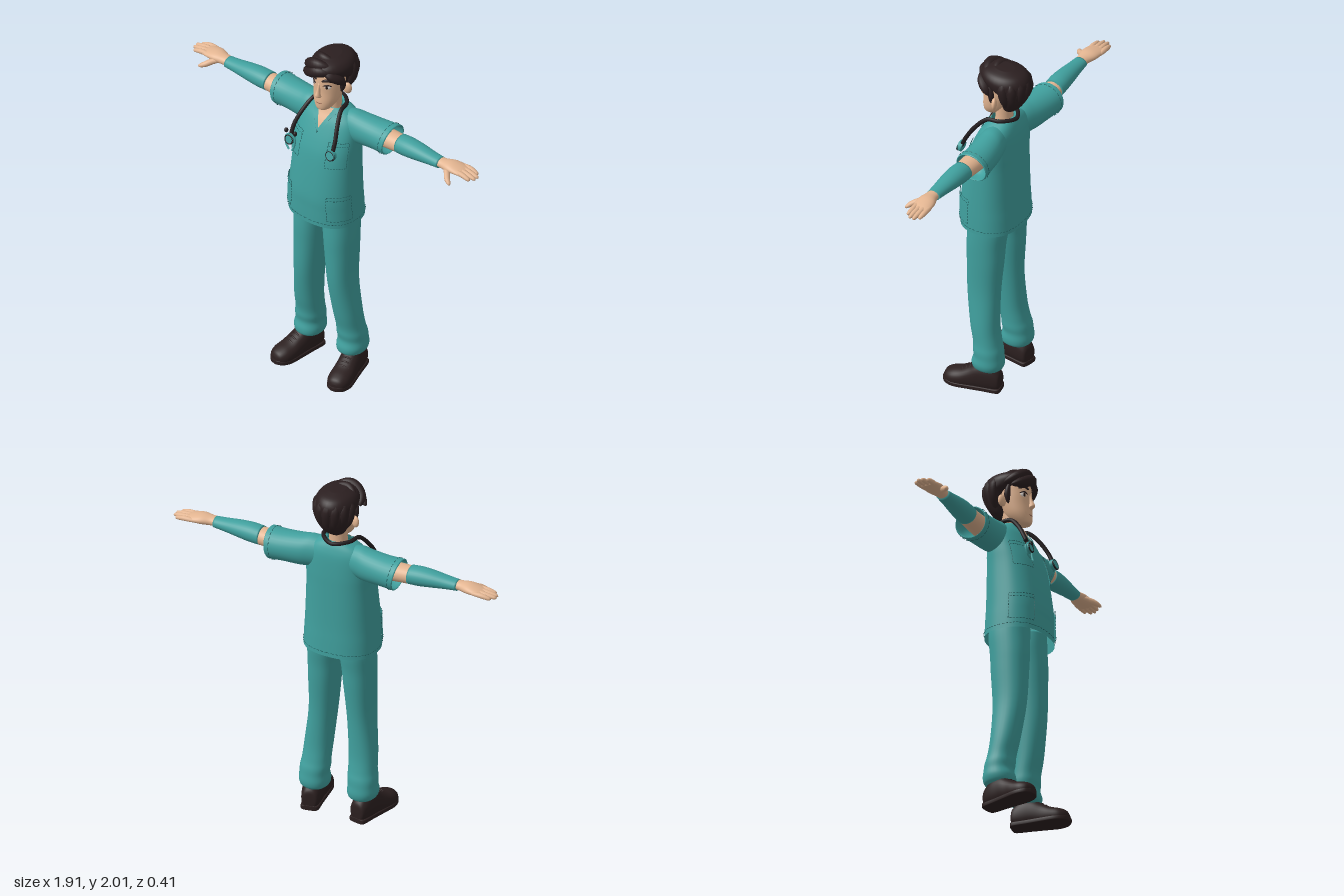
import * as THREE from 'three';
import { mergeGeometries, mergeVertices } from 'three/addons/utils/BufferGeometryUtils.js';

const V = (x, y, z) => new THREE.Vector3(x, y, z);
const material = (name, color, side = THREE.FrontSide) => {
  const m = new THREE.MeshStandardMaterial({ color, side });
  m.name = name;
  return m;
};
const pw = (v, n) => Math.sign(v) * Math.pow(Math.abs(v), 2 / n);

// Smoothly subdivide cross-section rows [t, centreA, centreB, radiusA, radiusB]
function smooth(rows, k = 5) {
  const cr = (a, b, c, d, t) => 0.5 * (2 * b + (c - a) * t + (2 * a - 5 * b + 4 * c - d) * t * t + (3 * b - a - 3 * c + d) * t * t * t);
  const out = [], last = rows.length - 1;
  for (let i = 0; i < last; i++)
    for (let s = 0; s < k; s++)
      out.push(rows[i].map((v, j) => cr(rows[Math.max(0, i - 1)][j], v, rows[i + 1][j], rows[Math.min(last, i + 2)][j], s / k)));
  out.push(rows[last]);
  return out;
}

// Skin a stack of superellipse sections along an axis
function loft(axis, rows, { n = 2, seg = 32, caps = true } = {}) {
  const rings = smooth(rows), pos = [], idx = [];
  const put = (t, a, b) => pos.push(...(axis === 'y' ? [a, t, b] : axis === 'x' ? [t, a, b] : [a, b, t]));
  const flip = (axis === 'y') !== (rows[rows.length - 1][0] < rows[0][0]);
  const tri = (a, b, c) => idx.push(...(flip ? [a, c, b] : [a, b, c]));
  for (const [t, ca, cb, ra, rb] of rings)
    for (let j = 0; j < seg; j++) {
      const q = (j / seg) * Math.PI * 2;
      put(t, ca + ra * pw(Math.cos(q), n), cb + rb * pw(Math.sin(q), n));
    }
  for (let i = 0; i < rings.length - 1; i++)
    for (let j = 0; j < seg; j++) {
      const a = i * seg + j, b = i * seg + (j + 1) % seg;
      tri(a, b, b + seg);
      tri(a, b + seg, a + seg);
    }
  if (caps) {
    const m = rings.length - 1, c0 = rings.length * seg;
    put(...rings[0].slice(0, 3));
    put(...rings[m].slice(0, 3));
    for (let j = 0; j < seg; j++) {
      tri(c0, (j + 1) % seg, j);
      tri(c0 + 1, m * seg + j, m * seg + (j + 1) % seg);
    }
  }
  const g = new THREE.BufferGeometry();
  g.setAttribute('position', new THREE.Float32BufferAttribute(pos, 3));
  g.setIndex(idx);
  g.computeVertexNormals();
  return g;
}

// Tube that narrows to both ends; used for locks, fingers and brows
function taper(points, r, power = 0.6) {
  const curve = new THREE.CatmullRomCurve3(points.map(p => V(...p)));
  let g = new THREE.TubeGeometry(curve, 20, 1, 10);
  const p = g.attributes.position, uv = g.attributes.uv, v = V();
  for (let i = 0; i < p.count; i++) {
    const c = curve.getPointAt(uv.getX(i));
    v.fromBufferAttribute(p, i).sub(c).multiplyScalar(r * Math.pow(Math.max(0, Math.sin(Math.PI * uv.getX(i))), power)).add(c);
    p.setXYZ(i, v.x, v.y, v.z);
  }
  g.deleteAttribute('uv');
  g.deleteAttribute('normal');
  g = mergeVertices(g, 1e-5);
  g.computeVertexNormals();
  return g;
}
const tube = (points, r, seg = 60) => new THREE.TubeGeometry(new THREE.CatmullRomCurve3(points.map(p => V(...p))), seg, r, 8);
const ball = (x, y, z, a, b, c, ry = 0) => new THREE.SphereGeometry(1, 24, 16).scale(a, b, c).rotateY(ry).translate(x, y, z);
const dashes = pts => mergeGeometries(pts.slice(1).map((p, i) => [pts[i], p]).filter((_, i) => i % 3 < 2)
  .map(([a, b]) => new THREE.TubeGeometry(new THREE.LineCurve3(a, b), 1, 0.0018, 4)));

// Torso sections and a lookup of points on its surface
const TORSO = [
  [1.01, 0, 0.002, 0.208, 0.166], [1.1, 0, 0.004, 0.205, 0.164], [1.2, 0, 0.005, 0.2, 0.16], [1.4, 0, -0.008, 0.19, 0.143],
  [1.5, 0, -0.022, 0.188, 0.127], [1.6, 0, -0.042, 0.18, 0.1], [1.65, 0, -0.052, 0.145, 0.077], [1.685, 0, -0.052, 0.08, 0.06]];
const FINE = smooth(TORSO), TN = 2.4;
function section(y) {
  let i = 0;
  while (i < FINE.length - 2 && FINE[i + 1][0] < y) i++;
  const t = (y - FINE[i][0]) / (FINE[i + 1][0] - FINE[i][0]);
  return FINE[i].map((v, j) => v + (FINE[i + 1][j] - v) * t);
}
function onTorso(q, y, off = 0.003) {
  const [, , cz, rx, rz] = section(y);
  return V((rx + off) * pw(Math.cos(q), TN), y, cz + (rz + off) * pw(Math.sin(q), TN));
}
const angleAt = (x, y) => Math.acos(Math.sign(x) * Math.pow(Math.min(1, Math.abs(x) / section(y)[3]), TN / 2));
const onFront = (x, y, off) => onTorso(angleAt(x, y), y, off);
const run = (n, f) => Array.from({ length: n + 1 }, (_, i) => f(i / n));
const mix = THREE.MathUtils.lerp;
function patch(f, nu = 12, nv = 10) {
  const g = new THREE.PlaneGeometry(1, 1, nu, nv), p = g.attributes.position;
  for (let i = 0; i < p.count; i++) {
    const v = f(p.getX(i) + 0.5, p.getY(i) + 0.5);
    p.setXYZ(i, v.x, v.y, v.z);
  }
  g.computeVertexNormals();
  return g;
}

export function createModel() {
  const model = new THREE.Group();
  const scrubs = material('teal scrubs', 0x40a09e, THREE.DoubleSide), stitch = material('dark stitching', 0x1f5c5c);
  const skin = material('skin', 0xe3b591, THREE.DoubleSide), hair = material('dark brown hair', 0x2b1f20);
  const shoe = material('shoe leather', 0x2c2020), rubber = material('black rubber', 0x211b1d);
  const white = material('eye white', 0xeee6e0), iris = material('dark iris', 0x2a1a16), lip = material('lip line', 0x9a6650);

  const add = (name, geo, mat) => {
    const m = new THREE.Mesh(geo, mat);
    m.name = name;
    model.add(m);
  };
  const both = (name, geo, mat) => {
    const g = geo.index ? geo.clone() : mergeVertices(geo);
    g.scale(-1, 1, 1);
    const ix = g.index;
    for (let i = 0; i < ix.count; i += 3) {
      const t = ix.getX(i);
      ix.setX(i, ix.getX(i + 1));
      ix.setX(i + 1, t);
    }
    add(name + 'Left', geo, mat);
    add(name + 'Right', g, mat);
  };

  // Tunic
  add('tunic', loft('y', TORSO, { n: TN, seg: 64, caps: false }), scrubs);
  add('tunicHemStitch', dashes(run(180, t => onTorso(t * Math.PI * 2, 1.035))), stitch);
  const SLEEVE = [[0.06, 1.585, -0.055, 0.08, 0.065], [0.14, 1.582, -0.062, 0.092, 0.077], [0.2, 1.578, -0.07, 0.09, 0.083], [0.3, 1.578, -0.08, 0.085, 0.088], [0.385, 1.578, -0.084, 0.088, 0.094]];
  const slant = g => {
    const p = g.attributes.position;
    for (let i = 0; i < p.count; i++) p.setX(i, p.getX(i) + Math.max(0, p.getX(i) - 0.2) * (p.getY(i) - 1.65) * 0.7);
    g.computeVertexNormals();
    return g;
  };
  both('sleeve', slant(loft('x', SLEEVE, { caps: false })), scrubs);
  both('sleeveLining', slant(loft('x', [[0.385, 1.578, -0.084, 0.088, 0.094], [0.386, 1.578, -0.084, 0.081, 0.087], [0.33, 1.58, -0.08, 0.074, 0.078], [0.28, 1.585, -0.075, 0.04, 0.04]], { caps: false })), scrubs);
  both('sleeveStitch', slant(dashes(run(60, t => V(0.36, 1.578 + 0.09 * Math.cos(t * 6.283), -0.083 + 0.0955 * Math.sin(t * 6.283))))), stitch);

  // Neckline
  add('chestSkin', patch((u, v) => onFront((u - 0.5) * 0.1 * v, mix(1.575, 1.683, v), 0.003)), skin);
  both('collarBand', patch((u, v) => onFront(mix(0.052, 0, v) + u * 0.016, mix(1.682, 1.572, v) - u * 0.018, 0.008), 3, 12), scrubs);
  both('collarStitch', tube(run(8, t => onFront(mix(0.068, 0, t), mix(1.664, 1.552, t), 0.006).toArray()), 0.0018, 16), stitch);
  add('backCollar', tube(run(12, t => { const q = Math.PI * (1 + t); return [0.068 * Math.cos(q), 1.682, -0.05 + 0.058 * Math.sin(q)]; }), 0.011, 30), scrubs);

  // Pockets
  for (const [name, q0, q1, y0, y1] of [['chestPocket', 1.18, 0.42, 1.385, 1.53], ['hipPocket', 1.05, 0.2, 1.06, 1.21]]) {
    both(name, patch((u, v) => onTorso(mix(q0, q1, u), mix(y0, y1, v), 0.006)), scrubs);
    const edge = (a, b, c, d) => run(24, t => onTorso(mix(a, b, t), mix(c, d, t), 0.007));
    both(name + 'Stitch', mergeGeometries([edge(q0, q0, y1, y0), edge(q0, q1, y0, y0), edge(q1, q1, y0, y1), edge(q0, q1, y1, y1), edge(q0, q1, y1 - 0.02, y1 - 0.02)].map(dashes)), stitch);
  }

  // Trousers
  both('trouserLeg', loft('y', [
    [1.08, 0.093, -0.005, 0.09, 0.11], [1.0, 0.094, -0.007, 0.094, 0.112], [0.9, 0.1, 0, 0.089, 0.108], [0.8, 0.104, 0.002, 0.084, 0.104],
    [0.6, 0.113, 0.005, 0.074, 0.093], [0.4, 0.13, -0.012, 0.076, 0.079], [0.3, 0.136, -0.03, 0.077, 0.075], [0.25, 0.14, -0.038, 0.081, 0.08],
    [0.21, 0.143, -0.043, 0.079, 0.08], [0.17, 0.143, -0.04, 0.083, 0.088], [0.14, 0.141, -0.038, 0.077, 0.084], [0.125, 0.14, -0.038, 0.062, 0.068]], { n: 2.2 }), scrubs);

  // Shoes, turned outwards
  const turn = g => g.rotateY(0.2).translate(0.163, 0, 0);
  const upper = loft('z', [
    [-0.12, 0, 0.055, 0.02, 0.025], [-0.112, 0, 0.062, 0.044, 0.056], [-0.06, 0, 0.075, 0.055, 0.085], [0, 0, 0.073, 0.058, 0.085],
    [0.05, 0, 0.055, 0.06, 0.073], [0.1, 0, 0.042, 0.064, 0.058], [0.15, 0, 0.035, 0.062, 0.05], [0.185, 0, 0.032, 0.044, 0.036], [0.198, 0, 0.03, 0.018, 0.015]], { n: 2.2 });
  const up = upper.attributes.position;
  for (let i = 0; i < up.count; i++) up.setY(i, Math.max(0.012, up.getY(i)));
  upper.computeVertexNormals();
  both('shoeUpper', turn(upper), shoe);
  both('shoeSole', turn(loft('z', [
    [-0.123, 0, 0.014, 0.028, 0.013], [-0.11, 0, 0.014, 0.049, 0.014], [-0.03, 0, 0.014, 0.055, 0.014], [0.05, 0, 0.014, 0.062, 0.014],
    [0.13, 0, 0.014, 0.067, 0.014], [0.18, 0, 0.016, 0.05, 0.014], [0.203, 0, 0.018, 0.02, 0.012]], { n: 6 })), shoe);
  both('shoeLaces', turn(mergeGeometries([0, 1, 2, 3].map(i => tube([[-0.03, 0.132 - i * 0.013, 0.025 + i * 0.022], [0, 0.144 - i * 0.014, 0.027 + i * 0.022], [0.03, 0.132 - i * 0.013, 0.025 + i * 0.022]], 0.005, 8)))), shoe);

  // Arms and hands
  both('upperArm', loft('x', [[0.27, 1.585, -0.075, 0.055, 0.06], [0.38, 1.588, -0.073, 0.05, 0.058], [0.46, 1.59, -0.072, 0.047, 0.054]]), skin);
  both('underSleeve', loft('x', [[0.44, 1.592, -0.072, 0.051, 0.057], [0.5, 1.595, -0.07, 0.052, 0.058], [0.57, 1.597, -0.068, 0.046, 0.053], [0.65, 1.597, -0.066, 0.036, 0.044], [0.72, 1.597, -0.065, 0.029, 0.038]]), scrubs);
  both('palm', loft('x', [[0.7, 1.6, -0.065, 0.025, 0.033], [0.74, 1.601, -0.066, 0.026, 0.036], [0.79, 1.604, -0.071, 0.027, 0.05], [0.84, 1.602, -0.075, 0.02, 0.051], [0.88, 1.598, -0.077, 0.012, 0.045]]), skin);
  [[-0.115, 0.935], [-0.091, 0.957], [-0.067, 0.955], [-0.043, 0.935]].forEach(([z, x], i) =>
    both('finger' + (i + 1), taper([[0.81, 1.602, z], [0.88, 1.601, z], [x, 1.59, z + 0.004]], 0.0145, 0.3), skin));
  both('thumb', taper([[0.75, 1.598, -0.055], [0.79, 1.59, -0.025], [0.82, 1.575, 0.008], [0.852, 1.56, 0.028]], 0.0165, 0.4), skin);

  // Head
  add('neck', loft('y', [[1.6, 0, -0.05, 0.06, 0.052], [1.68, 0, -0.048, 0.05, 0.047], [1.78, 0, -0.05, 0.052, 0.05]]), skin);
  add('head', loft('y', [
    [1.686, 0, 0.035, 0.02, 0.02], [1.697, 0, 0.025, 0.042, 0.045], [1.74, 0, 0.002, 0.067, 0.071], [1.8, 0, -0.016, 0.079, 0.084],
    [1.86, 0, -0.03, 0.084, 0.098], [1.92, 0, -0.04, 0.082, 0.1], [1.965, 0, -0.045, 0.05, 0.07]]), skin);
  add('nose', loft('y', [[1.77, 0, 0.064, 0.01, 0.008], [1.782, 0, 0.073, 0.017, 0.016], [1.793, 0, 0.077, 0.014, 0.018], [1.82, 0, 0.069, 0.009, 0.014], [1.86, 0, 0.062, 0.007, 0.008]]), skin);
  both('ear', ball(0.1, 1.812, -0.048, 0.025, 0.034, 0.015, 0.4), skin);
  both('eye', ball(0.043, 1.845, 0.05, 0.019, 0.014, 0.006, 0.55), white);
  both('iris', ball(0.041, 1.845, 0.0535, 0.0095, 0.012, 0.005, 0.5), iris);
  both('upperLid', taper([[0.02, 1.849, 0.064], [0.042, 1.861, 0.057], [0.065, 1.852, 0.037]], 0.004), hair);
  both('eyebrow', taper([[0.016, 1.88, 0.068], [0.042, 1.891, 0.057], [0.07, 1.879, 0.031]], 0.0075, 0.4), hair);
  add('mouth', taper([[-0.026, 1.739, 0.066], [0, 1.736, 0.073], [0.026, 1.739, 0.066]], 0.0028), lip);

  // Hair
  add('hairCap', loft('y', [
    [1.735, 0, -0.088, 0.03, 0.022], [1.765, 0, -0.1, 0.065, 0.045], [1.82, 0, -0.115, 0.09, 0.065], [1.87, 0, -0.11, 0.104, 0.085],
    [1.905, 0, -0.075, 0.113, 0.125], [1.945, 0, -0.056, 0.113, 0.14], [1.978, 0, -0.052, 0.088, 0.115], [1.996, 0, -0.05, 0.04, 0.055]]), hair);
  const locks = [
    [[[0.08, 1.94, 0.03], [0, 1.94, 0.072], [-0.075, 1.905, 0.06], [-0.13, 1.878, 0.02]], 0.032],
    [[[0.06, 1.965, 0.03], [-0.02, 1.968, 0.055], [-0.09, 1.935, 0.03], [-0.12, 1.9, -0.03]], 0.034],
    [[[0.02, 1.945, 0.06], [0.065, 1.925, 0.05], [0.1, 1.885, 0.005], [0.098, 1.85, -0.02]], 0.027],
    [[[0.05, 1.975, -0.01], [-0.03, 1.982, 0.0], [-0.1, 1.955, -0.04]], 0.025]];
  for (let i = 0; i < 7; i++) {
    const a = (i - 3) * 0.42, s = Math.sin(a), c = Math.cos(a);
    locks.push([[[0.05 * s, 1.965, -0.09], [0.098 * s, 1.93, -0.06 - 0.115 * c], [0.09 * s, 1.86, -0.075 - 0.095 * c], [0.05 * s, 1.765, -0.09 - 0.035 * c]], 0.03]);
  }
  locks.forEach(([p, r], i) => add('hairLock' + (i + 1), taper(p, r), hair));
  both('sideburn', taper([[0.09, 1.91, -0.01], [0.09, 1.85, -0.022], [0.083, 1.795, -0.02]], 0.017), hair);

  // Stethoscope
  const drop = [[0.14, 1.5, 0.13], [0.137, 1.56, 0.103], [0.118, 1.63, 0.06], [0.095, 1.688, 0], [0.078, 1.692, -0.07]];
  add('stethoscopeTube', tube([...drop, [0, 1.688, -0.125], ...drop.map(([x, y, z]) => [-x, y, z]).reverse()], 0.0115, 100), rubber);
  const disc = (x, y, z, r, h) => new THREE.CylinderGeometry(r, r, h, 28).rotateX(Math.PI / 2 - 0.2).translate(x, y, z);
  const ring = (x, y, z, r, t) => new THREE.TorusGeometry(r, t, 10, 28).rotateX(-0.2).translate(x, y, z);
  add('chestPiece', disc(0.135, 1.49, 0.136, 0.03, 0.024), scrubs);
  add('chestPieceRim', ring(0.135, 1.49, 0.144, 0.026, 0.005), rubber);
  add('tubeJoint', disc(-0.14, 1.475, 0.138, 0.029, 0.024), scrubs);
  add('tubeJointRim', ring(-0.14, 1.475, 0.148, 0.025, 0.004), rubber);
  add('earTubes', mergeGeometries([-1, 1].map(s => tube([[-0.14, 1.51, 0.135], [-0.14 + s * 0.03, 1.48, 0.135], [-0.138 + s * 0.026, 1.435, 0.14], [-0.13 + s * 0.01, 1.412, 0.148]], 0.0055, 20))), scrubs);
  add('earTips', mergeGeometries([-1, 1].map(s => ball(-0.14 + s * 0.03, 1.515, 0.132, 0.011, 0.014, 0.011))), rubber);
  return model;
}
